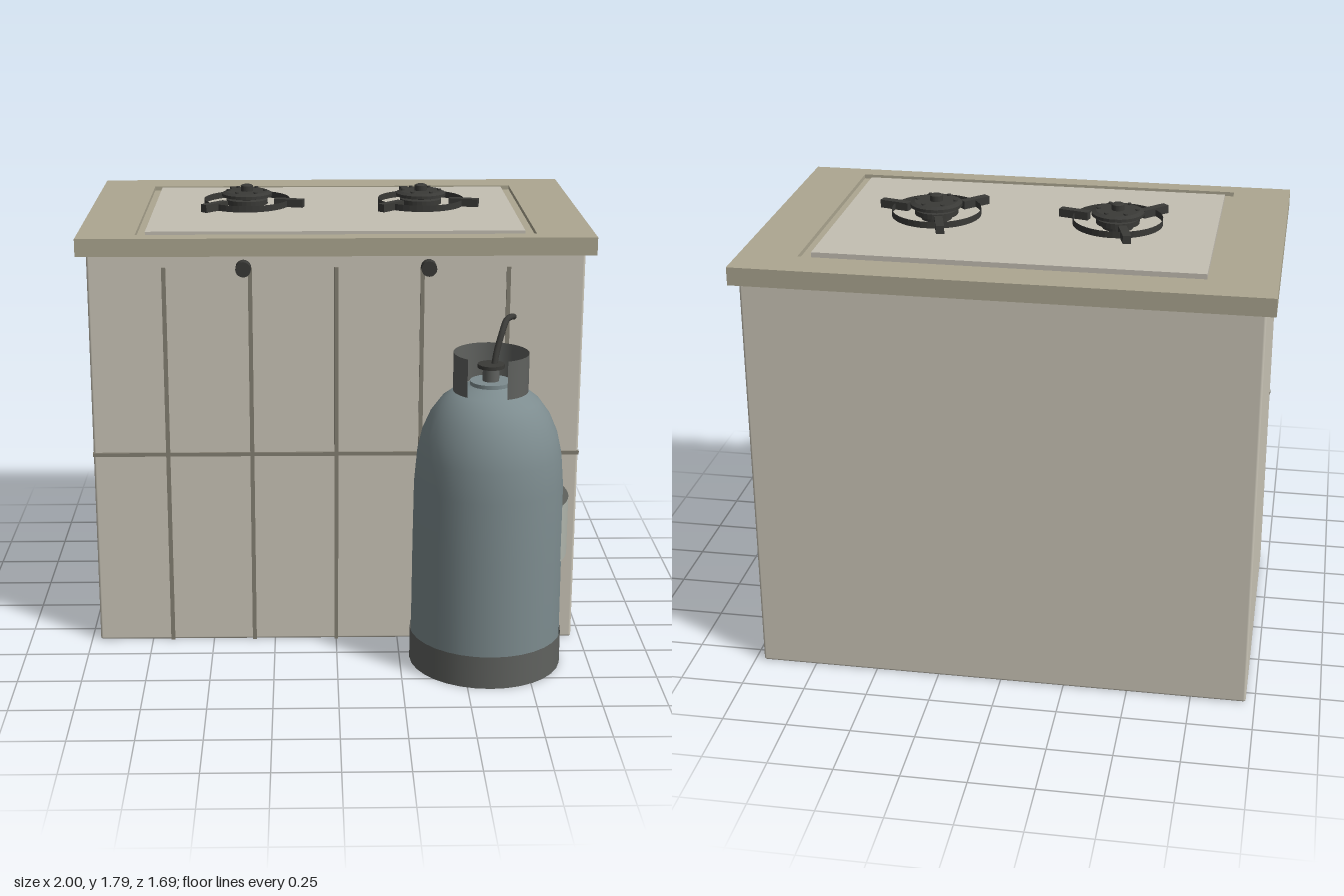
import * as THREE from 'three';
import { RoundedBoxGeometry } from 'three/addons/geometries/RoundedBoxGeometry.js';

const mat = (color, side = THREE.FrontSide) => new THREE.MeshStandardMaterial({ color, side });
const cream = mat(0xcbc6b8), stone = mat(0xada791), plateMat = mat(0xc4bfb3), trim = mat(0x858073);
const dark = mat(0x3a3a37), darkThin = mat(0x3a3a37, THREE.DoubleSide);
const steel = mat(0x7d8c8f, THREE.DoubleSide), grey = mat(0x60625f, THREE.DoubleSide);
const labelMat = mat(0xb0b5ac, THREE.DoubleSide);
const DEG = Math.PI / 180;

function add(parent, name, geometry, material, x = 0, y = 0, z = 0) {
  const mesh = new THREE.Mesh(geometry, material);
  mesh.name = name;
  mesh.position.set(x, y, z);
  parent.add(mesh);
  return mesh;
}

// Box given by its minimum and maximum corners
function span(parent, name, material, [x0, y0, z0], [x1, y1, z1]) {
  return add(parent, name, new THREE.BoxGeometry(x1 - x0, y1 - y0, z1 - z0), material,
    (x0 + x1) / 2, (y0 + y1) / 2, (z0 + z1) / 2);
}

function lathe(points, segments = 32) {
  return new THREE.LatheGeometry(points.map(([r, y]) => new THREE.Vector2(r, y)), segments);
}

function makeCabinet() {
  const g = new THREE.Group();
  g.name = 'cabinet';
  add(g, 'cabinetBody', new RoundedBoxGeometry(1.93, 1.62, 1.18, 2, 0.01), cream, 0, 0.81, -0.23);
  // Raised strips dividing the front into panels
  for (let i = -2; i <= 2; i++) {
    const x = i * 0.334;
    span(g, 'verticalStrip', trim, [x - 0.008, 0.002, 0.35], [x + 0.008, 1.56, 0.37]);
  }
  span(g, 'horizontalStrip', trim, [-0.967, 0.793, 0.35], [0.967, 0.808, 0.368]);

  // Worktop frame with a rectangular opening
  const rect = (Type, x0, y0, x1, y1) => new Type([[x0, y0], [x1, y0], [x1, y1], [x0, y1]]
    .map(([x, y]) => new THREE.Vector2(x, y)));
  const frame = rect(THREE.Shape, -1, -0.42, 1, 0.845);
  frame.holes.push(rect(THREE.Path, -0.775, -0.345, 0.775, 0.69));
  const top = new THREE.ExtrudeGeometry(frame, { depth: 0.07, bevelEnabled: false });
  top.rotateX(-Math.PI / 2);
  add(g, 'worktopFrame', top, stone, 0, 1.615, 0);
  span(g, 'recessFloor', stone, [-0.78, 1.616, -0.695], [0.78, 1.668, 0.35]);
  span(g, 'hobPlate', plateMat, [-0.74, 1.66, -0.645], [0.735, 1.688, 0.3]);
  return g;
}

function makeBurner(x) {
  const g = new THREE.Group();
  g.name = 'burner';
  g.position.set(x, 1.688, -0.175);
  // Stacked base, cap and centre knob
  add(g, 'burnerCap', lathe([[0, 0], [0.06, 0], [0.06, 0.015], [0.085, 0.02], [0.085, 0.04], [0.07, 0.045],
    [0.102, 0.052], [0.102, 0.064], [0.085, 0.072], [0.025, 0.072], [0.025, 0.094], [0.018, 0.098], [0, 0.098]], 28),
  darkThin).material.flatShading = true;
  // Thin upright ring carrying three arms
  add(g, 'supportRing', new THREE.CylinderGeometry(0.175, 0.175, 0.026, 40, 1, true), darkThin, 0, 0.028, 0);
  for (const angle of [15, 135, 255]) {
    const arm = add(g, 'supportArm', new THREE.BoxGeometry(0.12, 0.032, 0.032), dark,
      0.18 * Math.cos(angle * DEG), 0.031, 0.18 * Math.sin(angle * DEG));
    arm.rotation.y = -angle * DEG;
  }
  // Small studs around the cap
  for (let i = 0; i < 6; i++) {
    const a = i * 60 * DEG;
    add(g, 'capStud', new THREE.CylinderGeometry(0.008, 0.008, 0.012, 8), dark,
      0.075 * Math.cos(a), 0.072, 0.075 * Math.sin(a));
  }
  return g;
}

function makeKnob(x) {
  const g = new THREE.Group();
  g.name = 'controlKnob';
  g.position.set(x, 1.565, 0.36);
  add(g, 'knobStem', new THREE.CylinderGeometry(0.013, 0.013, 0.04, 12), dark, 0, 0, 0.012).rotation.x = Math.PI / 2;
  add(g, 'knobGrip', new THREE.CylinderGeometry(0.03, 0.03, 0.045, 20), dark, 0, 0, 0.045).rotation.x = Math.PI / 2;
  return g;
}

function makeGasBottle() {
  const g = new THREE.Group();
  g.name = 'gasBottle';
  g.position.set(0.59, 0, 0.545);
  // Body with domed shoulders and a concave base
  add(g, 'bottleBody', lathe([[0, 0.1], [0.15, 0.085], [0.25, 0.05], [0.29, 0.03], [0.295, 0.13], [0.293, 0.5], [0.29, 0.75],
    [0.28, 0.87], [0.262, 0.95], [0.23, 1.025], [0.19, 1.08], [0.145, 1.115], [0.09, 1.135], [0.08, 1.14]]), steel);
  add(g, 'baseRing', new THREE.CylinderGeometry(0.3, 0.3, 0.132, 32, 1, true), grey, 0, 0.066, 0);
  add(g, 'neckRing', new THREE.CylinderGeometry(0.08, 0.08, 0.02, 24), steel, 0, 1.145, 0);

  // Guard collar with a gap at the front
  add(g, 'guardCollar', new THREE.CylinderGeometry(0.145, 0.145, 0.15, 32, 1, true, 20 * DEG, 297 * DEG),
    grey, 0, 1.192, 0);

  // Valve with hand wheel
  add(g, 'valveStem', new THREE.CylinderGeometry(0.032, 0.032, 0.055, 16), grey, 0, 1.18, 0);
  add(g, 'valveWheel', new THREE.CylinderGeometry(0.052, 0.052, 0.014, 16), dark, 0, 1.214, 0);

  // Curved plate on the side
  add(g, 'sidePlate', new THREE.CylinderGeometry(0.312, 0.312, 0.23, 16, 1, true, 60 * DEG, 60 * DEG),
    labelMat, 0, 0.583, 0);

  // Hose running back to the cabinet
  const path = new THREE.CatmullRomCurve3([[0.01, 1.2, 0], [0.022, 1.26, -0.025], [0.045, 1.33, -0.06],
    [0.066, 1.365, -0.11], [0.09, 1.367, -0.155], [0.105, 1.357, -0.195]].map(p => new THREE.Vector3(...p)));
  add(g, 'gasHose', new THREE.TubeGeometry(path, 28, 0.012, 10), dark);
  return g;
}

export function createModel() {
  const model = new THREE.Group();
  model.name = 'gasStoveCabinet';
  model.add(makeCabinet(), makeGasBottle());
  for (const x of [-0.358, 0.356]) model.add(makeBurner(x), makeKnob(x));
  return model;
}
